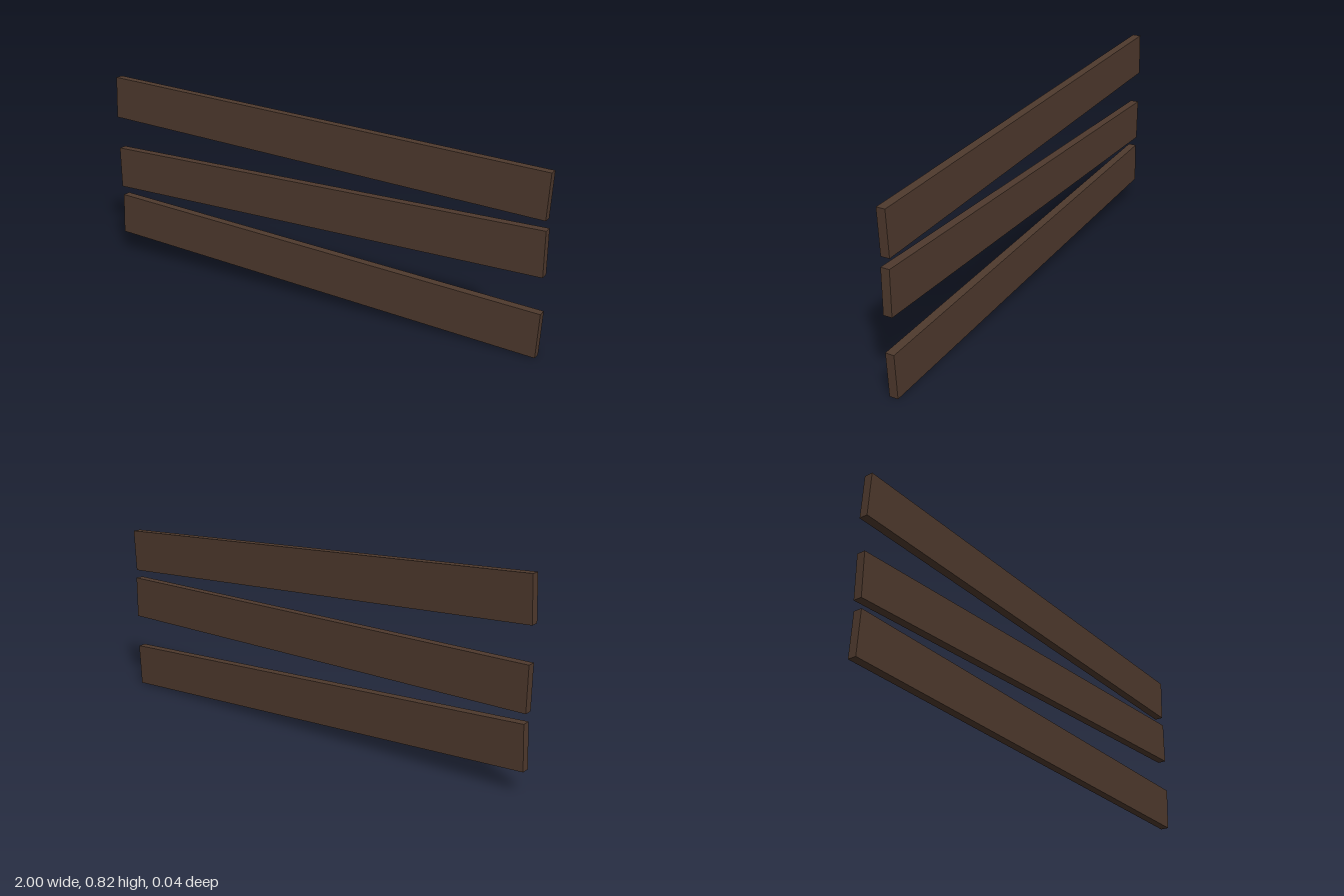
import * as THREE from 'three';

export function createModel() {
  const group = new THREE.Group();
  const darkWood = new THREE.MeshStandardMaterial({ color: 0x4e392d });
  darkWood.name = 'darkWood';

  // One board shape, shared by all three planks
  const board = new THREE.BoxGeometry(1.993, 0.181, 0.036);

  // Name, centre height and tilt of each plank
  const planks = [
    ['bottomPlank', 0.138, -0.047],
    ['middlePlank', 0.411, 0.006],
    ['topPlank', 0.682, -0.047],
  ];
  for (const [name, y, tilt] of planks) {
    const plank = new THREE.Mesh(board, darkWood);
    plank.name = name;
    plank.position.y = y;
    plank.rotation.z = tilt;
    group.add(plank);
  }
  return group;
}
